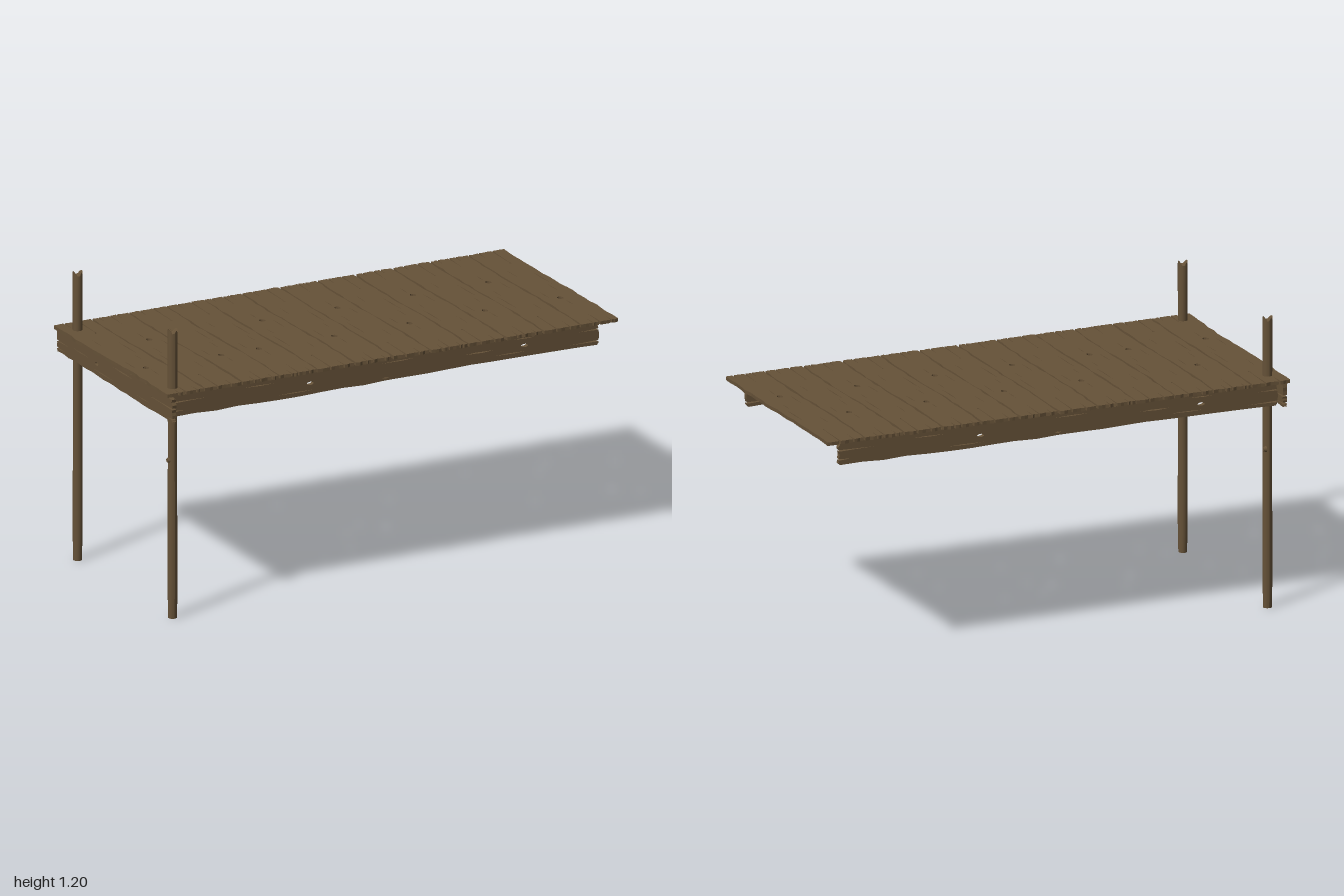
import * as THREE from 'three';

const wood = new THREE.MeshStandardMaterial({ color: 0x665238, side: THREE.DoubleSide });

function seeded(seed) {
  let s = seed * 7919 + 17;
  return () => (s = (s * 16807) % 2147483647) / 2147483647;
}

// Outline points of a ragged board end at +x, running from -v to +v, with cracks [v, depth, bulb]
function endPoints(length, width, cracks, rnd) {
  const pts = [], h = width / 2, e = length / 2;
  const jag = () => e - rnd() * 0.009;
  let v = -h;
  for (const [cv, d, bulb] of [...cracks].sort((a, b) => a[0] - b[0])) {
    for (let k = 1; k < 3; k++) pts.push([jag(), v + (cv - 0.004 - v) * k / 3]);
    pts.push([e - 0.003, cv - 0.0035], [e - d * 0.5, cv - 0.0015]);
    if (bulb) pts.push([e - d + 0.006, cv - 0.001], [e - d, cv - 0.005], [e - d - 0.006, cv],
      [e - d, cv + 0.005], [e - d + 0.006, cv + 0.001]);
    else pts.push([e - d, cv]);
    pts.push([e - d * 0.5, cv + 0.0015], [e - 0.003, cv + 0.0035]);
    v = cv + 0.004;
  }
  for (let k = 1; k < 3; k++) pts.push([jag(), v + (h - v) * k / 3]);
  return pts;
}

// Weathered board: length on x, width on y, thickness on z, with knot holes and slits
function boardGeometry({ length, width, thick, seed, knots, slits, cracksA, cracksB, bend = () => 0, rough = 0.004 }) {
  const rnd = seeded(seed), n = 20, pts = [];
  const edge = (sign) => {
    for (let i = 0; i <= n; i++) {
      const u = (i / n - 0.5) * length * 0.99 * -sign;
      pts.push([u, sign * (width / 2 - rough * rnd())]);
    }
  };
  edge(-1);
  pts.push(...endPoints(length, width * 0.9, cracksB, rnd));
  edge(1);
  pts.push(...endPoints(length, width * 0.9, cracksA.map(([v, ...r]) => [-v, ...r]), rnd).map(([u, v]) => [-u, -v]));
  const vec = ([u, v]) => new THREE.Vector2(u, v + bend(u));
  const shape = new THREE.Shape(pts.map(vec));
  // knot holes: [u, v, ru, rv]
  for (const [u, v, ru, rv] of knots) {
    const ring = [];
    for (let i = 0; i < 10; i++) {
      const a = -i / 10 * Math.PI * 2;
      ring.push([u + ru * Math.cos(a), v + rv * Math.sin(a)]);
    }
    shape.holes.push(new THREE.Path(ring.map(vec)));
  }
  // narrow slits: [u, v, length, half width]
  for (const [u, v, l, w] of slits) {
    shape.holes.push(new THREE.Path([[u - l / 2, v], [u - l * 0.1, v + w], [u + l * 0.2, v + w * 0.5],
      [u + l / 2, v + w * 0.3], [u + l * 0.1, v - w]].map(vec)));
  }
  return new THREE.ExtrudeGeometry(shape, { depth: thick, bevelEnabled: false }).translate(0, 0, -thick / 2);
}

function addMesh(parent, name, geometry) {
  const mesh = new THREE.Mesh(geometry, wood);
  mesh.name = name;
  parent.add(mesh);
  return mesh;
}

// Round post with worn foot and splintered top
function postGeometry() {
  const sides = 14, rows = 12, height = 1.2;
  const g = new THREE.CylinderGeometry(0.02, 0.02, height, sides, rows).translate(0, height / 2, 0);
  const p = g.attributes.position;
  for (let i = 0; i < p.count; i++) {
    const y = p.getY(i), a = Math.atan2(p.getZ(i), p.getX(i));
    const r = Math.hypot(p.getX(i), p.getZ(i));
    const k = (y < 0.05 ? 0.88 : 0.96 + 0.04 * Math.sin(y * 7)) + 0.02 * Math.sin(3 * a + y * 5);
    p.setX(i, p.getX(i) * k);
    p.setZ(i, p.getZ(i) * k);
    if (y > 1.19) {
      const step = Math.round((a + Math.PI) / (Math.PI * 2) * sides) % sides;
      p.setY(i, r < 0.005 ? 1.17 : 1.2 - 0.016 * ((step * 5) % 7) / 6);
    }
  }
  g.computeVertexNormals();
  return g;
}

export function createModel() {
  const group = new THREE.Group();

  // Deck planks laid across the long side; some are turned end for end
  const deck = new THREE.Group();
  deck.name = 'deck';
  const turned = [1, 4, 6, 8, 10];
  const pitch = 2 / 12;
  for (let i = 0; i < 12; i++) {
    const geometry = boardGeometry({
      length: 0.955, width: pitch - 0.001, thick: 0.014, seed: i + 3, rough: 0.007,
      bend: (u) => 0.004 * Math.sin(u * 7),
      knots: [[0.148, -0.006, 0.015, 0.012]],
      slits: [[-0.1, 0.05, 0.16, 0.0025], [0.21, 0.0, 0.07, 0.002], [0.09, -0.045, 0.1, 0.002],
        [-0.2, -0.03, 0.09, 0.0015], [0.02, 0.03, 0.08, 0.0015]],
      cracksA: [[0.025, 0.165, true], [-0.035, 0.07, false]],
      cracksB: [[-0.03, 0.06, false], [0.0, 0.12, false], [0.05, 0.05, false]],
    });
    // local x -> z, y -> x, thickness -> y
    geometry.applyMatrix4(new THREE.Matrix4().makeBasis(
      new THREE.Vector3(0, 0, 1), new THREE.Vector3(1, 0, 0), new THREE.Vector3(0, 1, 0)));
    const plank = addMesh(deck, 'plank', geometry);
    plank.rotation.y = turned.includes(i) ? Math.PI : 0;
    plank.position.set(-1 + pitch * (i + 0.5), 0.949, -0.012 + 0.024 * i / 11);
  }
  group.add(deck);
  // The change of basis mirrors the planks, so restore their face order
  deck.children.forEach(({ geometry: { attributes } }) => {
    for (const a of [attributes.position, attributes.uv]) {
      const s = a.itemSize;
      for (let t = 0; t < a.count; t += 3) {
        for (let c = 0; c < s; c++) {
          const k = a.array[(t + 1) * s + c];
          a.array[(t + 1) * s + c] = a.array[(t + 2) * s + c];
          a.array[(t + 2) * s + c] = k;
        }
      }
    }
  });
  deck.children.forEach((m) => m.geometry.computeVertexNormals());

  // Long side boards under the deck edges
  const sideBoard = boardGeometry({
    length: 1.905, width: 0.1, thick: 0.018, seed: 41, rough: 0.006,
    bend: (u) => 0.002 * Math.sin(u * 5),
    knots: [[-0.335, -0.002, 0.016, 0.007], [0.62, -0.002, 0.016, 0.007]],
    slits: [[-0.56, 0.024, 0.14, 0.002], [0.42, -0.001, 0.13, 0.003], [-0.4, -0.03, 0.16, 0.002],
      [0.06, 0.025, 0.15, 0.002], [0.56, -0.026, 0.14, 0.002], [0.62, 0.028, 0.1, 0.002], [0.0, -0.036, 0.03, 0.003]],
    cracksA: [[0.012, 0.16, false], [-0.025, 0.06, false]],
    cracksB: [[0.015, 0.09, false], [-0.033, 0.13, false]],
  });
  for (const [name, z, turn] of [['frontSideBoard', 0.426, 0], ['backSideBoard', -0.43, Math.PI]]) {
    const m = addMesh(group, name, sideBoard);
    m.position.set(-0.0125, 0.893, z);
    m.rotation.y = turn;
  }

  // End board outside the posts
  const endBoard = addMesh(group, 'endBoard', boardGeometry({
    length: 0.965, width: 0.1, thick: 0.018, seed: 58, rough: 0.005,
    bend: (u) => 0.004 * Math.sin(u * 3),
    knots: [[0.15, 0, 0.014, 0.008]],
    slits: [[-0.07, 0.03, 0.16, 0.003], [0.1, -0.028, 0.17, 0.002], [-0.24, -0.025, 0.1, 0.0015], [0.28, 0.004, 0.13, 0.002]],
    cracksA: [[0.007, 0.175, true], [-0.036, 0.05, false]],
    cracksB: [[-0.004, 0.11, false], [-0.034, 0.07, false]],
  }));
  endBoard.rotation.y = Math.PI / 2;
  endBoard.position.set(-0.974, 0.892, -0.006);

  // Posts at one end, each with a small branch stub
  const post = postGeometry();
  for (const [name, s] of [['frontPost', 1], ['backPost', -1]]) {
    const g = new THREE.Group();
    g.name = name;
    addMesh(g, 'shaft', post);
    const stub = addMesh(g, 'branchStub', new THREE.CylinderGeometry(0.008, 0.013, 0.012, 8));
    stub.position.set(-0.018, 0.657, s > 0 ? 0 : 0.013);
    stub.rotation.z = Math.PI / 2;
    g.position.set(-0.94, 0, s * 0.395);
    g.rotation.y = s > 0 ? 0 : Math.PI;
    group.add(g);
  }
  return group;
}
